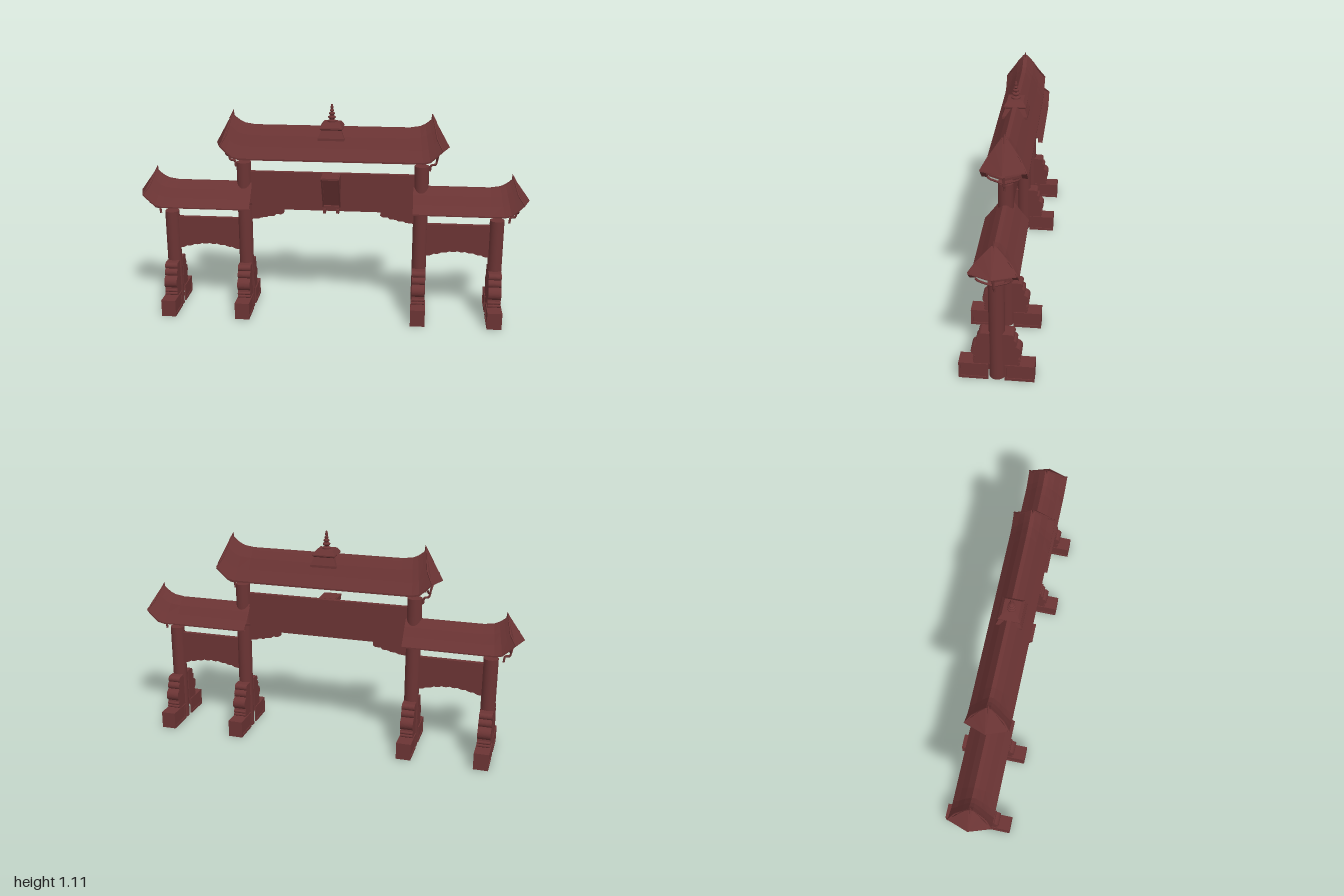
import * as THREE from 'three';

const flat = new THREE.MeshStandardMaterial({ color: 0x6b3434, flatShading: true, side: THREE.DoubleSide });
const smooth = new THREE.MeshStandardMaterial({ color: 0x6b3434 });

function add(parent, name, geometry, material = flat) {
  const mesh = new THREE.Mesh(geometry, material);
  mesh.name = name;
  parent.add(mesh);
  return mesh;
}
const box = (w, h, d, x, y, z) => new THREE.BoxGeometry(w, h, d).translate(x, y, z);
const shapeOf = pts => new THREE.Shape(pts.map(p => new THREE.Vector2(...p)));
const extrude = (shape, depth) =>
  new THREE.ExtrudeGeometry(shape, { depth, bevelEnabled: false, curveSegments: 8 }).translate(0, 0, -depth / 2);
// Extrusion along x of a shape drawn as (z, y)
const extrudeX = (shape, width) => extrude(shape, width).rotateY(-Math.PI / 2);
const tube = (pts, r) => new THREE.TubeGeometry(
  new THREE.CatmullRomCurve3(pts.map(p => new THREE.Vector3(...p)), false, 'catmullrom', 0.1), 16, r, 6);

// Half roof: one hollow section lofted along +x, sweeping up to a hipped end
function halfRoof(x0, xe, eaveY, height) {
  const half = [[0.105, 0], [0.105, 0.05], [0.072, 0.38], [0.042, 0.72], [0.016, 0.95], [0.01, 1]];
  const inner = [[0.08, 0], [0.08, 0.2], [0.045, 0.55], [0.01, 0.88]];
  const flip = a => a.map(([z, t]) => [-z, t]).reverse();
  const outer = [...half, ...flip(half)];
  const ring = [...outer, ...flip(flip(inner).map(([z, t]) => [z, t]).reverse()).reverse().map(([z, t]) => [-Math.abs(z), t]), ...inner.slice().reverse()];
  // eave x, ridge x, eave lift, ridge lift
  const stations = [
    [x0, x0, 0, 0], [xe - 0.2, xe - 0.2, 0, 0], [xe - 0.13, xe - 0.15, 0, 0.008],
    [xe - 0.095, xe - 0.125, 0.008, 0.02], [xe - 0.065, xe - 0.105, 0.035, 0.035], [xe - 0.035, xe - 0.085, 0.065, 0.055],
  ];
  const rings = stations.map(([ex, rx, el, rl]) => ring.map(([z, t]) =>
    [ex + (rx - ex) * t, eaveY + el + (height + rl - el) * t, z]));
  const pos = [];
  const tri = (a, b, c) => pos.push(...a, ...b, ...c);
  for (let s = 0; s < rings.length - 1; s++) {
    for (let i = 0; i < ring.length; i++) {
      const j = (i + 1) % ring.length;
      tri(rings[s][i], rings[s + 1][i], rings[s + 1][j]);
      tri(rings[s][i], rings[s + 1][j], rings[s][j]);
    }
  }
  const end = rings[rings.length - 1];
  const tip = [xe, eaveY + 0.065, 0];
  for (let i = 0; i < outer.length - 1; i++) tri(end[i], tip, end[i + 1]);
  const g = new THREE.BufferGeometry();
  g.setAttribute('position', new THREE.Float32BufferAttribute(pos, 3));
  g.computeVertexNormals();
  return g;
}

function roofSide(name, x0, xe, eaveY, height) {
  const group = new THREE.Group();
  group.name = name;
  add(group, 'roofShell', halfRoof(x0, xe, eaveY, height));
  // Upturned ridge horn
  const horn = new THREE.ConeGeometry(0.016, 0.05, 4).scale(1, 1, 0.8);
  add(group, 'ridgeHorn', horn.rotateZ(0.2).translate(xe - 0.088, eaveY + height + 0.052, 0));
  // Ribs down the hips
  for (const s of [1, -1]) {
    add(group, 'hipRib', tube([[xe - 0.085, eaveY + height + 0.05, s * 0.01],
      [xe - 0.065, eaveY + 0.065 + (height - 0.01) * 0.38, s * 0.072], [xe - 0.036, eaveY + 0.07, s * 0.104]], 0.004));
  }
  // V-shaped purlin beneath the roof
  const v = shapeOf([[0, -0.002], [0.07, 0.02], [0.078, 0.035], [0.066, 0.03], [0, 0.01], [-0.066, 0.03], [-0.078, 0.035], [-0.07, 0.02]]);
  const len = xe - 0.08 - x0;
  add(group, 'purlin', extrudeX(v, len).translate(x0 + len / 2, eaveY, 0));
  // Hooked bracket on the outer face of the column
  add(group, 'hookBracket', tube([[xe - 0.094, eaveY - 0.06, 0], [xe - 0.09, eaveY - 0.03, 0],
    [xe - 0.065, eaveY - 0.025, 0], [xe - 0.055, eaveY + 0.025, 0]], 0.006));
  add(group, 'hookArm', tube([[xe - 0.06, eaveY + 0.03, 0.075], [xe - 0.06, eaveY + 0.018, 0.065], [xe - 0.062, eaveY - 0.005, 0],
    [xe - 0.06, eaveY + 0.018, -0.065], [xe - 0.06, eaveY + 0.03, -0.075]], 0.005));
  return group;
}

// Stone foot: hollow plinth with panelled sides and a scalloped drum stone
function footStone() {
  const group = new THREE.Group();
  group.name = 'footStone';
  const side = shapeOf([[0.037, 0], [0.175, 0], [0.175, 0.088], [0.037, 0.088]]);
  side.holes.push(shapeOf([[0.048, 0.013], [0.164, 0.013], [0.164, 0.075], [0.048, 0.075]]));
  for (const s of [1, -1]) {
    add(group, 'plinthFrame', extrudeX(side, 0.008).translate(s * 0.0335, 0, 0));
    add(group, 'plinthPanel', box(0.004, 0.064, 0.118, s * 0.0315, 0.044, 0.106));
  }
  add(group, 'plinthTop', box(0.066, 0.01, 0.138, 0, 0.083, 0.106));
  add(group, 'plinthEnd', box(0.066, 0.088, 0.01, 0, 0.044, 0.17));
  const drum = new THREE.Shape();
  drum.moveTo(0.03, 0.088);
  drum.lineTo(0.105, 0.088);
  drum.absarc(0.1, 0.098, 0.008, -1.2, 1.4);
  drum.absarc(0.1, 0.115, 0.008, -1.4, 1.4);
  drum.absarc(0.085, 0.16, 0.031, -1.1, 1.2);
  drum.absarc(0.074, 0.21, 0.02, -0.8, 1.2);
  drum.absarc(0.066, 0.244, 0.017, -0.8, Math.PI / 2);
  drum.lineTo(0.03, 0.261);
  add(group, 'drumStone', extrudeX(drum, 0.066));
  return group;
}

function column(x, height) {
  const group = new THREE.Group();
  group.name = 'column';
  add(group, 'shaft', new THREE.CylinderGeometry(0.037, 0.037, height, 24).translate(0, height / 2, 0), smooth);
  for (const turn of [0, Math.PI]) {
    const foot = footStone();
    foot.rotation.y = turn;
    group.add(foot);
  }
  group.position.x = x;
  return group;
}

// Side panel with a scalloped arch along its lower edge
function sidePanel() {
  const pts = [[0.81, 0.5], [0.49, 0.5]];
  for (let i = 0; i <= 48; i++) {
    const u = i / 48;
    pts.push([0.49 + 0.32 * u, 0.33 + 0.028 * Math.sin(Math.PI * u) - 0.005 * Math.abs(Math.sin(u * Math.PI * 8))]);
  }
  return extrude(shapeOf(pts), 0.024);
}

// Wedge-shaped name board leaning forward, with a sunken face
function board() {
  const group = new THREE.Group();
  group.name = 'nameBoard';
  const wedge = w => shapeOf([[0.01, 0.757], [0.115 - w, 0.757], [0.115 - w, 0.75], [0.02 - w / 3, 0.58], [0.01, 0.58]]);
  add(group, 'boardFace', extrudeX(wedge(0.015), 0.078));
  for (const s of [1, -1]) {
    add(group, 'boardCheek', extrudeX(wedge(0), 0.008).translate(s * 0.042, 0, 0));
    add(group, 'boardFoot', box(0.014, 0.02, 0.045, s * 0.034, 0.567, 0.033));
  }
  add(group, 'boardTopRail', box(0.08, 0.01, 0.1, 0, 0.753, 0.064));
  add(group, 'boardBottomRail', box(0.08, 0.014, 0.03, 0, 0.583, 0.02));
  return group;
}

function finial() {
  const group = new THREE.Group();
  group.name = 'finial';
  // Square saddle over the ridge
  const saddle = [[0.066, 0.938], [0.066, 0.95], [0.05, 0.988], [0.058, 0.994], [0.058, 1.0], [0.042, 1.022], [0.001, 1.024]];
  const lathe = new THREE.LatheGeometry(saddle.map(([r, y]) => new THREE.Vector2(r * Math.SQRT2, y)), 4);
  add(group, 'finialBase', lathe.rotateY(Math.PI / 4).scale(1, 1, 0.95));
  const spire = [[0.022, 1.02], [0.022, 1.03], [0.01, 1.036], [0.019, 1.044], [0.019, 1.05], [0.008, 1.056],
    [0.015, 1.063], [0.015, 1.068], [0.007, 1.074], [0.011, 1.08], [0.006, 1.088], [0.008, 1.096], [0.004, 1.112], [0, 1.112]];
  add(group, 'spire', new THREE.LatheGeometry(spire.map(p => new THREE.Vector2(...p)), 12));
  return group;
}

export function createModel() {
  const model = new THREE.Group();
  model.name = 'gateway';

  // Central beam with stepped corner brackets
  add(model, 'mainBeam', box(0.84, 0.2, 0.024, 0, 0.657, 0));
  const corner = shapeOf([[0.25, 0.56], [0.25, 0.538], [0.262, 0.53], [0.29, 0.53], [0.3, 0.52], [0.33, 0.519],
    [0.34, 0.512], [0.37, 0.51], [0.38, 0.504], [0.42, 0.5], [0.42, 0.56]]);
  model.add(board(), finial());

  // Everything below repeats on both sides by a half turn
  for (const turn of [0, Math.PI]) {
    const side = new THREE.Group();
    side.name = turn ? 'rightSide' : 'leftSide';
    side.rotation.y = turn;
    side.add(column(0.455, 0.805), column(0.845, 0.53));
    add(side, 'cornerBracket', extrude(corner, 0.024));
    add(side, 'sidePanel', sidePanel());
    side.add(roofSide('mainRoof', 0, 0.59, 0.84, 0.16), roofSide('sideRoof', 0.415, 1, 0.575, 0.125));
    model.add(side);
  }
  return model;
}
